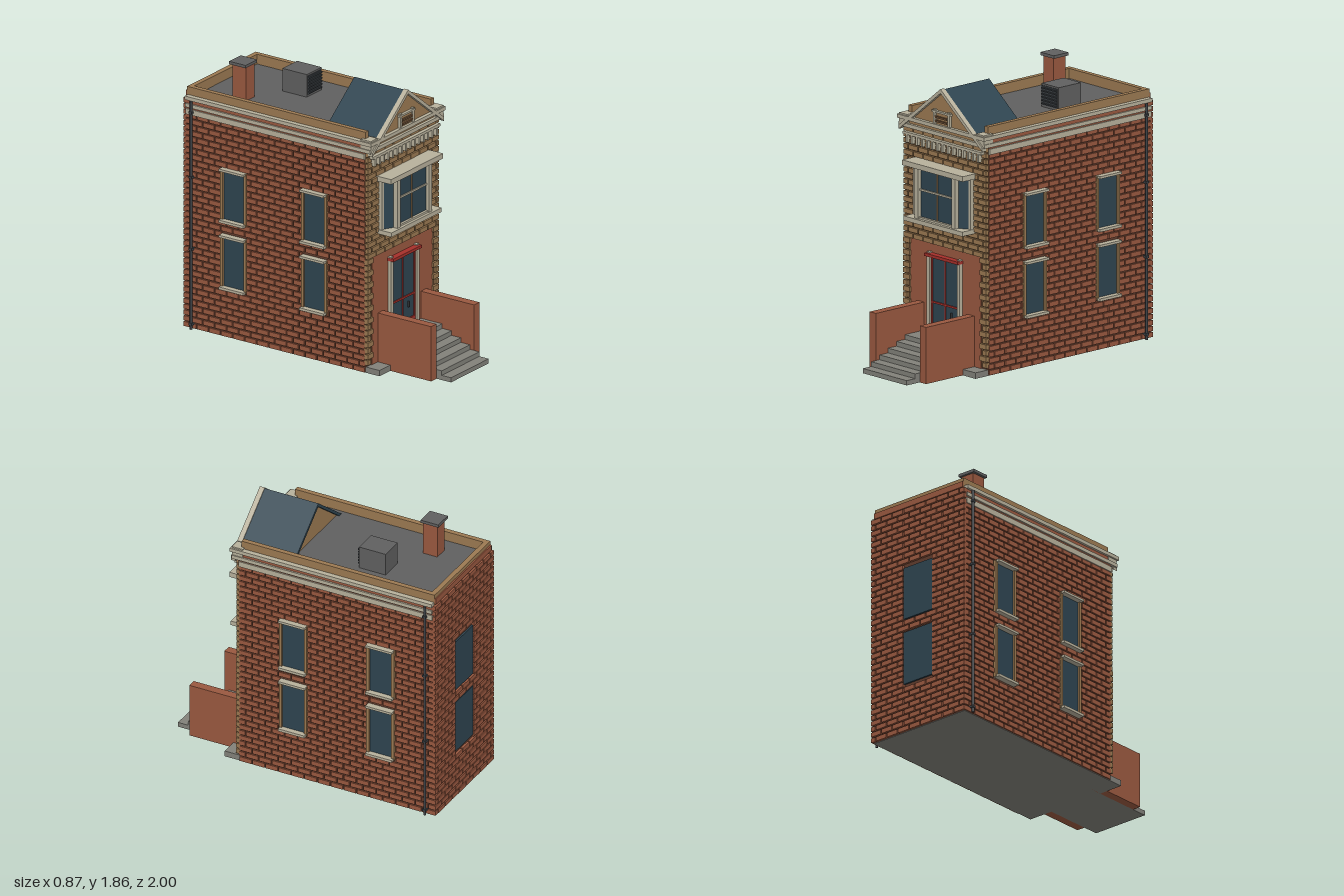
import * as THREE from 'three';
import { mergeGeometries } from 'three/addons/utils/BufferGeometryUtils.js';

const mat = (name, color, side = THREE.FrontSide) => {
  const m = new THREE.MeshStandardMaterial({ color, side });
  m.name = name;
  return m;
};

export function createModel() {
  const brick = mat('red brick', 0x9a5940), mortar = mat('dark mortar', 0x603c2d);
  const tan = mat('tan stone', 0x9c7a52), tanMortar = mat('brown mortar', 0x684c33);
  const cream = mat('cream trim', 0xb8b19c), stone = mat('grey stone', 0x82817a);
  const roofGrey = mat('roof grey', 0x606060), red = mat('red paint', 0xa5302a);
  const glass = mat('slate blue', 0x2e4450), iron = mat('dark iron', 0x3b4044);

  const model = new THREE.Group();
  model.name = 'townhouse';

  const add = (name, geo, material, parent = model) => {
    const m = new THREE.Mesh(geo, material);
    m.name = name;
    parent.add(m);
    return m;
  };
  // Box given by its limits on each axis
  const span = (x0, x1, y0, y1, z0, z1) =>
    new THREE.BoxGeometry(x1 - x0, y1 - y0, z1 - z0)
      .translate((x0 + x1) / 2, (y0 + y1) / 2, (z0 + z1) / 2);
  const box = (name, material, ...lim) => add(name, span(...lim), material);
  const pair = (name, material, x0, x1, ...rest) => {
    box(name, material, x0, x1, ...rest);
    box(name, material, -x1, -x0, ...rest);
  };

  // Running-bond brick courses over [u0,u1] x [y0,y1], trimmed around holes [a,b,y0,y1]
  const courses = (name, material, u0, u1, y0, y1, holes, place) => {
    const H = 0.04, L = 0.096, gap = 0.009, parts = [];
    const rows = Math.round((y1 - y0) / H), h = (y1 - y0) / rows;
    for (let r = 0; r < rows; r++) {
      const lo = y0 + r * h, hi = lo + h - gap;
      const cuts = holes.filter((k) => hi > k[2] && lo < k[3]);
      for (let u = u0 - (r % 2) * L / 2; u < u1; u += L) {
        let pieces = [[Math.max(u, u0), Math.min(u + L - gap, u1)]];
        for (const [a, b] of cuts) {
          pieces = pieces.flatMap(([p, q]) => [[p, Math.min(q, a)], [Math.max(p, b), q]]);
        }
        for (const [p, q] of pieces) if (q - p > 0.008) parts.push(place(p, q, lo, hi));
      }
    }
    add(name, mergeGeometries(parts), material);
  };

  // Main body
  box('bodyCore', mortar, -0.39, 0.39, 0.004, 1.59, -0.98, 0.45);
  box('groundSlab', stone, -0.39, 0.39, 0, 0.004, -0.98, 0.45);
  box('roofDeck', roofGrey, -0.37, 0.37, 1.585, 1.6, -0.97, 0.45);

  // Brick side and rear walls
  const levels = [[0.34, 0.71], [0.805, 1.17]];
  const sideZ = [0.048, -0.594];
  const sideHoles = levels.flatMap(([a, b]) => sideZ.map((z) => [z - 0.1, z + 0.1, a, b]));
  for (const s of [1, -1]) {
    const x0 = s > 0 ? 0.385 : -0.4, x1 = s > 0 ? 0.4 : -0.385;
    courses('sideBricks', brick, -0.985, 0.45, 0.004, 1.5, sideHoles,
      (a, b, lo, hi) => span(x0, x1, lo, hi, a, b));
  }
  courses('rearBricks', brick, -0.4, 0.4, 0.004, 1.6,
    levels.map(([a, b]) => [-0.125, 0.125, a, b]),
    (a, b, lo, hi) => span(a, b, lo, hi, -0.997, -0.975));

  // Windows
  for (const [y0, y1] of levels) {
    box('rearWindow', glass, -0.125, 0.125, y0, y1, -0.992, -0.975);
    for (const z of sideZ) {
      pair('sideWindow', glass, 0.385, 0.396, y0, y1, z - 0.084, z + 0.084);
      for (const e of [-1, 1]) {
        const c = z + e * 0.092;
        pair('sideWindowJamb', tan, 0.385, 0.41, y0, y1, c - 0.01, c + 0.01);
      }
      pair('sideWindowLintel', cream, 0.385, 0.435, y1 - 0.012, y1 + 0.004, z - 0.097, z + 0.097);
      pair('sideWindowSill', cream, 0.385, 0.435, y0 - 0.004, y0 + 0.014, z - 0.097, z + 0.097);
    }
  }

  // Front facade
  box('frontBacking', tanMortar, -0.395, 0.395, 0.05, 1.54, 0.44, 0.455);
  box('entryPanel', brick, -0.335, 0.335, 0.04, 0.79, 0.44, 0.46);
  courses('frontBricks', tan, -0.395, 0.395, 0.79, 1.54, [[-0.27, 0.27, 0.95, 1.32]],
    (a, b, lo, hi) => span(a, b, lo, hi, 0.45, 0.472));
  for (let i = 0; i < 18; i++) {
    const y = 0.055 + i * 0.041;
    pair('quoin', tan, i % 2 ? 0.335 : 0.362, 0.397, y, y + 0.033, 0.44, 0.472);
  }
  pair('plinth', stone, 0.21, 0.39, 0, 0.04, 0.44, 0.56);

  // Entrance steps
  for (let i = 0; i < 6; i++) {
    box('step', stone, -0.21, 0.21, i ? i * 0.032 : 0, (i + 1) * 0.032, 0.44, 1 - i * 0.074);
  }
  pair('stoopWall', brick, 0.21, 0.27, 0, 0.38, 0.44, 0.885);

  // Double door
  box('doorGlass', glass, -0.13, 0.13, 0.19, 0.71, 0.455, 0.464);
  box('doorKickPanel', red, -0.13, 0.13, 0.192, 0.243, 0.455, 0.472);
  box('doorMidRail', red, -0.13, 0.13, 0.395, 0.407, 0.455, 0.472);
  box('doorMullion', red, -0.004, 0.004, 0.24, 0.71, 0.455, 0.47);
  pair('doorStile', red, 0.12, 0.132, 0.19, 0.71, 0.455, 0.472);
  box('doorHandle', iron, 0.055, 0.065, 0.32, 0.36, 0.46, 0.475);
  pair('doorColumn', cream, 0.132, 0.158, 0.19, 0.735, 0.455, 0.485);
  box('doorLintel', red, -0.16, 0.16, 0.708, 0.728, 0.455, 0.505);

  // Bay window
  const bay = new THREE.Shape([[-0.27, -0.45], [0.27, -0.45], [0.27, -0.485], [0.18, -0.535],
    [-0.18, -0.535], [-0.27, -0.485]].map(([x, y]) => new THREE.Vector2(x, y)));
  add('bayGlass', new THREE.ExtrudeGeometry(bay, { depth: 0.38, bevelEnabled: false })
    .rotateX(-Math.PI / 2).translate(0, 0.945, 0), glass);
  box('baySill', cream, -0.28, 0.28, 0.935, 0.965, 0.45, 0.575);
  box('bayHead', cream, -0.29, 0.29, 1.305, 1.34, 0.45, 0.58);
  box('bayLowerRail', cream, -0.19, 0.19, 0.96, 0.978, 0.5, 0.553);
  box('bayUpperRail', cream, -0.19, 0.19, 1.295, 1.308, 0.5, 0.553);
  box('bayTransom', cream, -0.165, 0.165, 1.153, 1.165, 0.52, 0.545);
  box('bayMullion', tan, -0.003, 0.003, 0.97, 1.3, 0.52, 0.541);
  pair('bayPost', cream, 0.16, 0.192, 0.96, 1.31, 0.5, 0.56);
  pair('bayOuterPost', cream, 0.257, 0.275, 0.96, 1.31, 0.45, 0.498);

  // Dentils and cornices
  for (let i = 0; i < 15; i++) {
    const x = -0.343 + i * 0.049;
    box('dentil', cream, x - 0.008, x + 0.008, 1.43, 1.49, 0.455, 0.495);
  }
  box('dentilBand', cream, -0.375, 0.375, 1.485, 1.503, 0.45, 0.497);
  const ledges = [[1.485, 1.523, 0.408], [1.535, 1.56, 0.412], [1.587, 1.612, 0.417]];
  ledges.forEach(([y0, y1, x], i) => {
    pair('sideCornice', cream, 0.375, x, y0, y1, -0.975, 0.45);
    if (i) box('frontCornice', cream, -x, x, y0, y1, 0.43, 0.49 + i * 0.01);
  });
  pair('corniceBacking', brick, 0.375, 0.4, 1.52, 1.59, -0.98, 0.45);
  box('frontFrieze', tan, -0.4, 0.4, 1.54, 1.6, 0.44, 0.48);
  pair('cornerBlock', cream, 0.33, 0.405, 1.56, 1.622, 0.42, 0.5);

  // Parapet
  pair('sideParapet', tan, 0.348, 0.382, 1.58, 1.667, -0.98, 0.44);
  box('rearParapet', tan, -0.382, 0.382, 1.58, 1.667, -0.98, -0.945);
  box('rearCoping', brick, -0.382, 0.382, 1.6, 1.64, -0.99, -0.98);

  // Front gable
  const prism = (name, material, pts, z0, z1) => {
    const shape = new THREE.Shape(pts.map(([x, y]) => new THREE.Vector2(x, y)));
    add(name, new THREE.ExtrudeGeometry(shape, { depth: z1 - z0, bevelEnabled: false })
      .translate(0, 0, z0), material);
  };
  const chevron = (w, top, t, k = 0.79) => [[0, top], [-w, top - w * k], [-w, top - w * k - t],
    [0, top - t], [w, top - w * k - t], [w, top - w * k]];
  prism('gableInfill', tan, [[-0.34, 1.57], [0.34, 1.57], [0, 1.838]], 0.1, 0.485);
  prism('gableRoof', glass, chevron(0.35, 1.852, 0.025), 0.08, 0.48);
  prism('gableRake', cream, chevron(0.4, 1.858, 0.028), 0.475, 0.51);
  box('gableVentBack', tan, -0.075, 0.075, 1.6, 1.7, 0.48, 0.492);
  pair('gableVentPost', cream, 0.058, 0.078, 1.585, 1.71, 0.48, 0.502);
  for (const [y, w] of [[1.59, 0.088], [1.628, 0.06], [1.655, 0.06], [1.69, 0.088]]) {
    box('gableVentBar', w > 0.08 ? cream : tanMortar, -w, w, y, y + 0.012, 0.48, 0.506);
  }

  // Chimney
  box('chimneyStack', brick, -0.237, -0.14, 1.59, 1.84, -0.72, -0.615);
  box('chimneyCap', roofGrey, -0.255, -0.125, 1.836, 1.856, -0.735, -0.605);

  // Rooftop air unit with front louvres
  box('airUnit', roofGrey, 0.05, 0.215, 1.6, 1.757, -0.53, -0.335);
  box('airUnitGrille', iron, 0.06, 0.205, 1.615, 1.745, -0.336, -0.33);
  for (let i = 0; i < 6; i++) {
    const y = 1.622 + i * 0.021;
    box('louvre', iron, 0.06, 0.205, y, y + 0.008, -0.335, -0.32);
  }

  // Downpipes with brackets
  for (const s of [1, -1]) {
    add('downpipe', new THREE.CylinderGeometry(0.009, 0.009, 1.585, 10), iron)
      .position.set(s * 0.415, 0.7925, -0.925);
  }
  for (const y of [0.03, 0.55, 1.05, 1.5]) {
    pair('pipeBracket', iron, 0.39, 0.426, y, y + 0.015, -0.938, -0.912);
  }
  return model;
}
